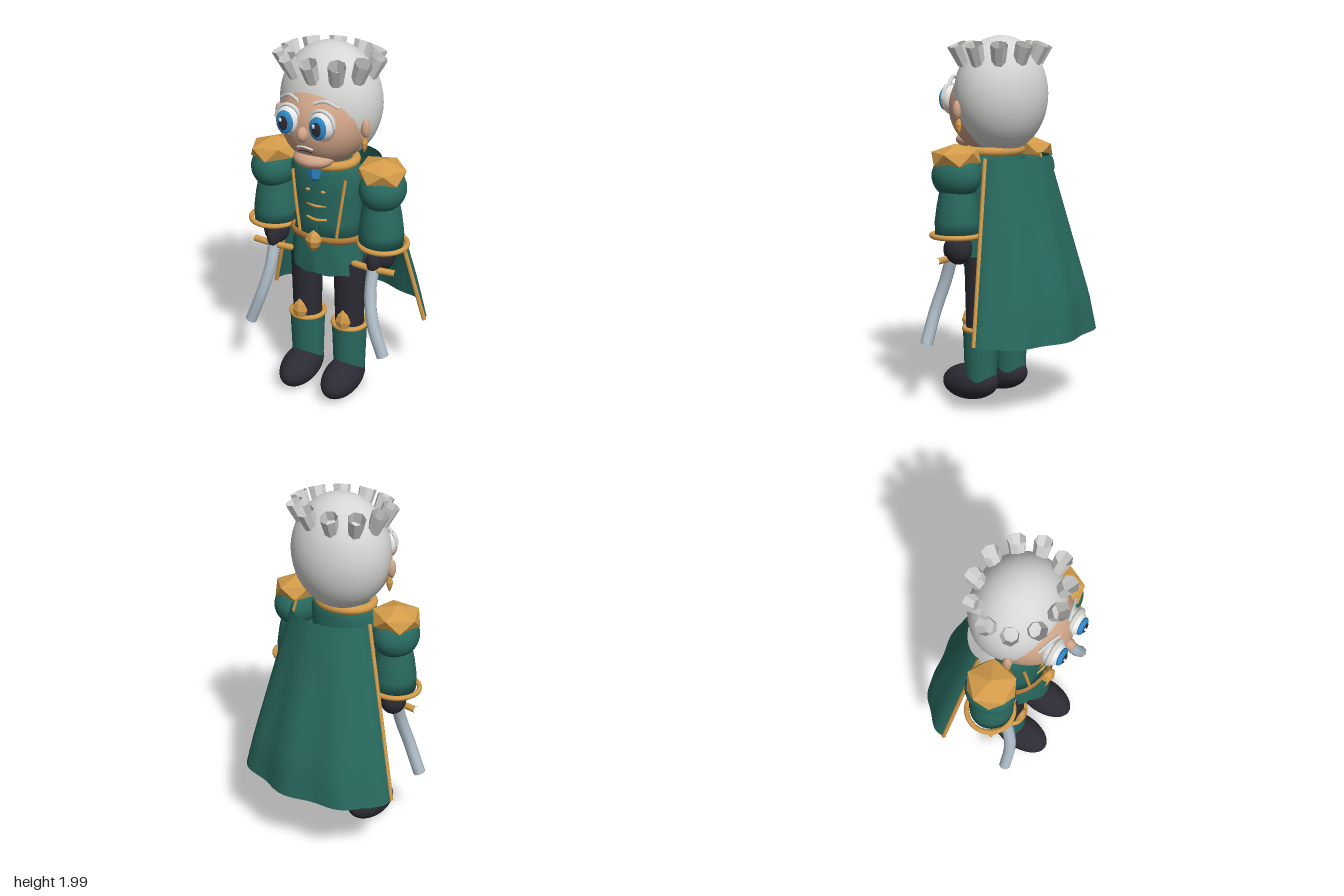
import * as THREE from 'three';

const V = (x, y, z) => new THREE.Vector3(x, y, z);
const mat = (name, color, side = THREE.FrontSide) => {
  const m = new THREE.MeshStandardMaterial({ color, side });
  m.name = name;
  return m;
};

export function createModel() {
  const root = new THREE.Group();
  const green = mat('greenCloth', 0x28695f, THREE.DoubleSide);
  const gold = mat('gold', 0xd49c4a);
  const darkGold = mat('beltGold', 0xae7633);
  const black = mat('blackLeather', 0x2c2b34);
  const hair = mat('silverHair', 0xd6d6d4, THREE.DoubleSide);
  const skin = mat('skin', 0xcfa488);
  const blue = mat('blue', 0x2f88c8);
  const white = mat('white', 0xf2f2f0);
  const steel = mat('steel', 0xb0bfca);

  const add = (name, geo, material, pos = [0, 0, 0], scale = [1, 1, 1], rot = [0, 0, 0]) => {
    const m = new THREE.Mesh(geo, material);
    m.name = name;
    m.position.set(...pos);
    m.scale.set(...scale);
    m.rotation.set(...rot);
    root.add(m);
    return m;
  };
  const flat = (g) => {
    const f = g.index ? g.toNonIndexed() : g;
    f.computeVertexNormals();
    return f;
  };
  const ball = new THREE.SphereGeometry(1, 32, 24);
  const ellipsoid = (name, material, pos, radii, rot) => add(name, ball, material, pos, radii, rot);
  const tube = (name, material, pts, r, seg = 16, sides = 8) =>
    add(name, new THREE.TubeGeometry(new THREE.CatmullRomCurve3(pts.map((p) => V(...p))), seg, r, sides), material);
  const lathe = (pts, seg = 32) => new THREE.LatheGeometry(pts.map(([x, y]) => new THREE.Vector2(x, y)), seg);
  const ring = (name, material, pos, r, t, sz = 1) =>
    add(name, new THREE.TorusGeometry(r, t, 10, 36).rotateX(Math.PI / 2), material, pos, [1, 1, sz]);
  const gem = flat(lathe([[0, -1], [0.7, -0.45], [1, 0.1], [0.65, 0.6], [0, 1]], 6));

  // Head
  ellipsoid('hairCap', hair, [0, 1.685, 0.07], [0.275, 0.315, 0.24]);
  ellipsoid('face', skin, [0, 1.615, 0.13], [0.235, 0.245, 0.24]);
  ellipsoid('chin', skin, [0, 1.435, 0.255], [0.11, 0.052, 0.1]);
  ellipsoid('nose', skin, [0, 1.6, 0.37], [0.03, 0.04, 0.035]);
  tube('moustache', white, [[-0.045, 1.517, 0.348], [0, 1.53, 0.36], [0.045, 1.517, 0.348]], 0.005);
  tube('mouth', black, [[-0.04, 1.495, 0.339], [0, 1.503, 0.346], [0.04, 1.495, 0.339]], 0.003);

  // Ring of open curls leaning outward
  const curlGeo = flat(new THREE.CylinderGeometry(0.048, 0.036, 0.115, 7, 1, true));
  for (let i = 0; i < 11; i++) {
    const a = (i / 11) * Math.PI * 2;
    const s = Math.sin(a), c = Math.cos(a);
    const curl = add('curl', curlGeo, hair, [0.238 * s, 1.9, 0.08 + 0.205 * c]);
    curl.quaternion.setFromUnitVectors(V(0, 1, 0), V(0.45 * s, 1, 0.45 * c).normalize());
  }

  // Torso, coat skirt and collar
  add('coat', lathe([[0, 0.93], [0.19, 0.93], [0.185, 1.05], [0.2, 1.2], [0.205, 1.33], [0.17, 1.38], [0, 1.39]]),
    green, [0, 0, 0.115], [1, 1, 0.66]);
  const skirt = lathe([[0.21, 0.755], [0.208, 0.82], [0.2, 0.88], [0.19, 0.95]], 48);
  const sp = skirt.attributes.position;
  for (let i = 0; i < sp.count; i++) {
    const k = (0.95 - sp.getY(i)) / 0.2;
    const w = Math.cos(Math.atan2(sp.getX(i), sp.getZ(i)) * 9) * k;
    sp.setXYZ(i, sp.getX(i) * (1 + 0.03 * w), sp.getY(i) + 0.007 * w, sp.getZ(i) * (1 + 0.03 * w));
  }
  skirt.computeVertexNormals();
  add('coatSkirt', skirt, green, [0, 0, 0.115], [1, 1, 0.66]);
  ring('collar', gold, [0, 1.385, 0.115], 0.155, 0.025, 0.85);
  add('belt', lathe([[0.195, 0.942], [0.21, 0.946], [0.215, 0.96], [0.21, 0.974], [0.195, 0.978]]),
    darkGold, [0, 0, 0.115], [1, 1, 0.68]);
  add('buckle', gem, gold, [0, 0.957, 0.27], [0.048, 0.065, 0.037]);
  add('cravat', flat(lathe([[0, -0.06], [0.035, -0.03], [0.048, 0.05], [0, 0.055]], 6)), blue,
    [0, 1.35, 0.255], [1, 1, 0.6]);
  [1.155, 1.075].forEach((y) =>
    tube('coatFrog', gold, [[-0.06, y, 0.23], [0, y - 0.004, 0.245], [0.06, y, 0.23]], 0.008));
  tube('coatSeam', green, [[0, 1.3, 0.249], [0, 1.1, 0.241], [0, 1, 0.24]], 0.004);

  for (const s of [1, -1]) {
    // Eyes
    const ex = s * 0.095;
    ellipsoid('eyeWhite', white, [ex, 1.655, 0.335], [0.07, 0.077, 0.06]);
    ellipsoid('iris', blue, [ex, 1.655, 0.385], [0.047, 0.062, 0.02]);
    ellipsoid('pupil', black, [ex, 1.655, 0.401], [0.026, 0.038, 0.008]);
    ellipsoid('eyeGlint', white, [ex - 0.012, 1.672, 0.407], [0.008, 0.012, 0.006]);
    add('eyelid', new THREE.TorusGeometry(0.07, 0.009, 8, 28, Math.PI), hair, [ex, 1.66, 0.345], [1, 1.08, 1.4]);
    add('lowerLid', new THREE.TorusGeometry(0.07, 0.005, 8, 28, Math.PI), skin, [ex, 1.655, 0.345], [1, 1.1, 1], [0, 0, Math.PI]);
    tube('eyebrow', hair, [[s * 0.165, 1.745, 0.295], [s * 0.1, 1.778, 0.32], [s * 0.045, 1.762, 0.335]], 0.009);

    // Ears and earrings
    ellipsoid('ear', skin, [s * 0.25, 1.61, 0.17], [0.025, 0.05, 0.025]);
    ellipsoid('earStud', gold, [s * 0.255, 1.57, 0.17], [0.01, 0.012, 0.01]);
    add('earring', gem, gold, [s * 0.243, 1.525, 0.167], [0.018, 0.05, 0.018]);

    // Coat trims and buttons
    tube('coatTrim', gold, [[s * 0.157, 1.32, 0.208], [s * 0.135, 1.15, 0.218], [s * 0.11, 0.975, 0.222]], 0.009);
    ellipsoid('coatButton', gold, [s * 0.045, 1.24, 0.246], [0.014, 0.008, 0.008]);

    // Arm with epaulette, flared sleeve and cuff
    ellipsoid('puffSleeve', green, [s * 0.325, 1.27, 0.115], [0.122, 0.12, 0.138]);
    add('sleeve', lathe([[0, 0.955], [0.118, 0.955], [0.12, 1.03], [0.108, 1.12], [0.09, 1.21]]),
      green, [s * 0.32, 0, 0.115]);
    ring('cuff', gold, [s * 0.333, 0.958, 0.115], 0.127, 0.014);
    const ep = flat(new THREE.IcosahedronGeometry(1, 0).rotateX(-Math.atan((1 + Math.sqrt(5)) / 2)).rotateY(0.5 * s));
    add('epaulette', ep, gold, [s * 0.322, 1.368, 0.12], [0.142, 0.072, 0.148], [0, 0, -s * 0.08]);

    // Gloved hand and sabre
    ellipsoid('hand', black, [s * 0.325, 0.885, 0.105], [0.07, 0.085, 0.075]);
    ellipsoid('thumb', black, [s * 0.305, 0.87, 0.165], [0.04, 0.07, 0.05]);
    tube('sabreGuard', gold, [[s * 0.18, 0.823, 0.165], [s * 0.3, 0.823, 0.175], [s * 0.43, 0.823, 0.165]], 0.018);
    const path = [[0.305, 0.84, 0.165], [0.308, 0.7, 0.21], [0.345, 0.54, 0.25], [0.412, 0.36, 0.26]];
    tube('sabreBlade', steel, path.map(([x, y, z]) => [s * x, y, z]), 0.034, 20, 8);
    const tip = add('sabreTip', new THREE.CircleGeometry(0.034, 8), steel, [s * 0.412, 0.36, 0.26]);
    tip.lookAt(s * 0.49, 0.16, 0.262);

    // Leg, boot and shoe
    add('trouserLeg', new THREE.CylinderGeometry(0.088, 0.078, 0.42, 24), black, [s * 0.132, 0.61, 0.112]);
    add('boot', new THREE.CylinderGeometry(0.097, 0.086, 0.32, 24), green, [s * 0.132, 0.26, 0.112]);
    ring('bootBand', gold, [s * 0.132, 0.42, 0.108], 0.092, 0.014);
    add('kneeCrest', gem, gold, [s * 0.135, 0.455, 0.195], [0.048, 0.08, 0.025]);
    ellipsoid('shoe', black, [s * 0.132, 0.11, 0.185], [0.102, 0.1, 0.18], [0.1, 0, 0]);
  }

  // Cape: half-ellipse cross-sections that widen and ripple toward the hem
  const capePoint = (u, v) => {
    const a = u * Math.PI / 2, s = Math.sin(a), c = Math.cos(a);
    const back = Math.min(1, v * 1.25);
    const ripple = 0.014 * v * Math.sin(u * 13 + 0.8) * Math.sqrt(Math.max(c, 0));
    const w = 0.24 + 0.235 * v + ripple, d = 0.165 + 0.115 * back + ripple;
    return V(w * s, 1.36 - 0.95 * v - 0.01 * v * c, -0.01 - 0.11 * v - d * c);
  };
  const NU = 64, NV = 16, pos = [], idx = [];
  for (let j = 0; j <= NV; j++) {
    for (let i = 0; i <= NU; i++) {
      pos.push(...capePoint((i / NU) * 2 - 1, j / NV).toArray());
      if (i < NU && j < NV) {
        const a = j * (NU + 1) + i, b = a + NU + 1;
        idx.push(a, a + 1, b, b, a + 1, b + 1);
      }
    }
  }
  const cape = new THREE.BufferGeometry();
  cape.setAttribute('position', new THREE.Float32BufferAttribute(pos, 3));
  cape.setIndex(idx);
  cape.computeVertexNormals();
  add('cape', cape, green);
  for (const u of [-1, 1]) {
    tube('capeTrim', gold, [0, 0.25, 0.5, 0.75, 1].map((v) => capePoint(u, v).toArray()), 0.012);
  }

  return root;
}
